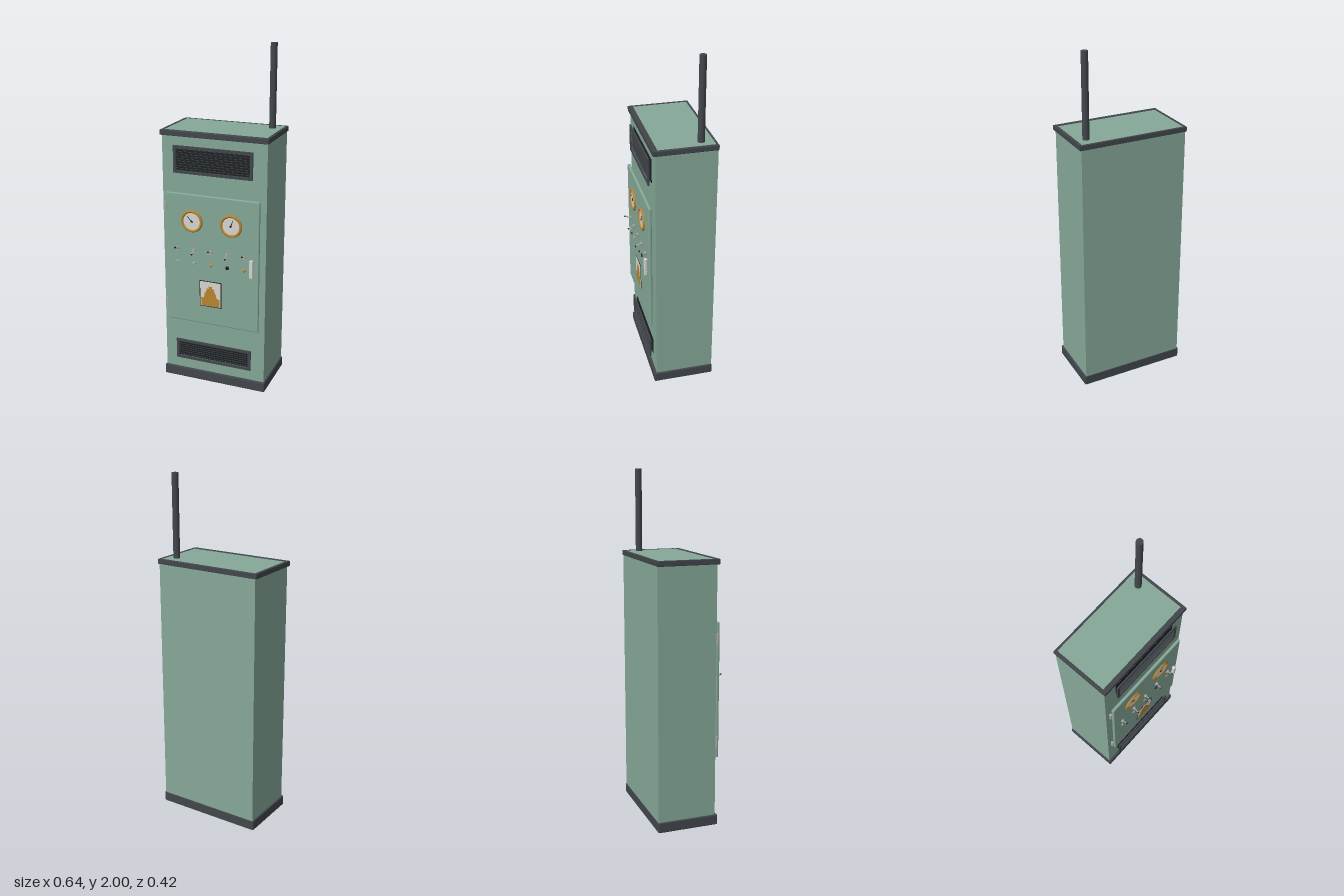
import * as THREE from 'three';
import { RoundedBoxGeometry } from 'three/addons/geometries/RoundedBoxGeometry.js';

const paint = (name, color) => {
  const m = new THREE.MeshStandardMaterial({ color });
  m.name = name;
  return m;
};

export function createModel() {
  const root = new THREE.Group();
  root.name = 'controlCabinet';
  const green = paint('greenPaint', 0x85a898);
  const dark = paint('darkTrim', 0x42464b);
  const black = paint('black', 0x1d2023);
  const brass = paint('brass', 0xb88530);
  const white = paint('dialWhite', 0xd9d6d0);
  const steel = paint('steel', 0xa8a9a5);

  const add = (name, geo, mat, x = 0, y = 0, z = 0, parent = root) => {
    const mesh = new THREE.Mesh(geo, mat);
    mesh.name = name;
    mesh.position.set(x, y, z);
    parent.add(mesh);
    return mesh;
  };
  const box = (w, h, d) => new THREE.BoxGeometry(w, h, d);
  const rounded = (w, h, d, r) => new RoundedBoxGeometry(w, h, d, 2, r);
  // cylinder whose axis runs along z
  const disc = (r, d, n = 32) => new THREE.CylinderGeometry(r, r, d, n).rotateX(Math.PI / 2);
  const rect = (path, x0, y0, x1, y1) =>
    path.moveTo(x0, y0).lineTo(x1, y0).lineTo(x1, y1).lineTo(x0, y1).closePath();
  // rectangular frame with a rectangular opening, extruded along z
  const frame = (outer, inner, depth, bevel) => {
    const [a, b, c, d] = outer;
    const s = new THREE.Shape();
    rect(s, a + bevel, b + bevel, c - bevel, d - bevel);
    const h = new THREE.Path();
    rect(h, inner[0] - bevel, inner[1] - bevel, inner[2] + bevel, inner[3] + bevel);
    s.holes.push(h);
    return new THREE.ExtrudeGeometry(s, {
      depth: depth - 2 * bevel, bevelEnabled: bevel > 0,
      bevelSize: bevel, bevelThickness: bevel, bevelSegments: 2,
    }).translate(0, 0, bevel);
  };

  // Cabinet body, plinth and roof trim
  add('body', box(0.624, 1.518, 0.34), green, 0, 0.759, -0.036);
  add('plinth', rounded(0.64, 0.06, 0.356, 0.006), dark, 0, 0.031, -0.03);
  const trim = frame([-0.32, -0.148, 0.32, 0.208], [-0.303, -0.12, 0.303, 0.195], 0.03, 0.003);
  add('roofTrim', trim.rotateX(-Math.PI / 2), dark, 0, 1.5, 0);
  add('roofPanel', box(0.608, 0.012, 0.318), green, 0, 1.522, -0.038);

  // Antenna
  add('antenna', new THREE.CylinderGeometry(0.019, 0.019, 0.485, 24), dark, 0.25, 1.7575, -0.128);

  // Louvred vents
  const vent = (name, y, h, count) => {
    const g = new THREE.Group();
    g.name = name;
    g.position.set(0, y, 0);
    root.add(g);
    const W = 0.236, H = h / 2, b = 0.017;
    add('ventFrame', frame([-W, -H, W, H], [-W + b, -H + b, W - b, H - b], 0.009, 0.001), dark, 0, 0, 0.149, g);
    add('ventBacking', box(2 * W - 0.02, h - 0.02, 0.002), black, 0, 0, 0.135, g);
    for (let i = 0; i < count; i++) {
      const t = (i + 0.5) / count - 0.5;
      const slat = add('louvre', box(2 * W - 0.03, 0.013, 0.002), dark, 0, t * (h - 0.034), 0.147, g);
      slat.rotation.x = 0.75;
    }
  };
  vent('upperVent', 1.372, 0.158, 9);
  vent('lowerVent', 0.196, 0.126, 7);

  // Door with hinges and handle
  add('door', rounded(0.564, 0.785, 0.018, 0.006), green, 0, 0.786, 0.157);
  for (const y of [1.085, 0.488]) {
    const hinge = new THREE.CylinderGeometry(0.0075, 0.0075, 0.064, 16);
    add('hinge', hinge, steel, -0.291, y, 0.15);
  }
  add('handle', rounded(0.021, 0.108, 0.017, 0.004), white, 0.242, 0.786, 0.179);
  for (const y of [0.745, 0.827]) add('handlePost', box(0.012, 0.014, 0.014), steel, 0.242, y, 0.17);

  // Dial gauges
  const gauge = (name, x, angle) => {
    const g = new THREE.Group();
    g.name = name;
    g.position.set(x, 1.022, 0);
    root.add(g);
    add('gaugeHousing', disc(0.06, 0.03), black, 0, 0, 0.15, g);
    const profile = [[0.064, 0.16], [0.066, 0.168], [0.064, 0.174], [0.059, 0.177], [0.053, 0.175], [0.049, 0.169]];
    const bezel = new THREE.LatheGeometry(profile.map(p => new THREE.Vector2(...p)), 40);
    add('gaugeBezel', bezel.rotateX(Math.PI / 2), brass, 0, 0, 0, g);
    add('gaugeFace', disc(0.051, 0.006), white, 0, 0, 0.168, g);
    add('gaugePivot', disc(0.006, 0.004, 16), black, 0, 0, 0.173, g);
    const needle = new THREE.Shape();
    needle.moveTo(-0.003, -0.008).lineTo(0.003, -0.008).lineTo(0.001, 0.042).lineTo(-0.001, 0.042);
    const mesh = add('gaugeNeedle', new THREE.ExtrudeGeometry(needle, { depth: 0.001, bevelEnabled: false }), black, 0, 0, 0.172, g);
    mesh.rotation.z = angle;
  };
  gauge('leftGauge', -0.121, 0.75);
  gauge('rightGauge', 0.116, -0.35);

  // Toggle switches, alternately up and down, above a row of lamps
  const lampColors = [steel, steel, brass, black, brass];
  lampColors.forEach((lampMat, i) => {
    const x = -0.213 + i * 0.102;
    const up = i % 2 ? -1 : 1;
    const g = new THREE.Group();
    g.name = 'toggleSwitch';
    g.position.set(x, 0.848, 0.166);
    root.add(g);
    add('switchNut', disc(0.013, 0.006, 6), steel, 0, 0, 0.003, g);
    add('switchCollar', disc(0.008, 0.006, 16), steel, 0, 0, 0.008, g);
    const lever = new THREE.CylinderGeometry(0.004, 0.0025, 0.034, 12).rotateX(Math.PI / 2).translate(0, 0, 0.017);
    const arm = add('switchLever', lever, steel, 0, 0, 0.006, g);
    arm.rotation.x = -0.45 * up;
    add('switchTip', new THREE.SphereGeometry(0.005, 12, 8), black, 0, 0, 0.034, arm);

    add('lampBase', disc(0.011, 0.003, 20), lampMat === black ? black : steel, x, 0.767, 0.167);
    const dome = new THREE.SphereGeometry(0.009, 16, 6, 0, Math.PI * 2, 0, Math.PI / 2);
    add('lamp', dome.rotateX(Math.PI / 2).scale(1, 1, 0.5), lampMat, x, 0.767, 0.1685);
  });

  // Picture plate with a stepped mound
  const px = -0.01;
  add('plateBorder', box(0.134, 0.16, 0.003), black, px, 0.588, 0.1665);
  add('plate', box(0.126, 0.152, 0.002), white, px, 0.588, 0.1678);
  const steps = [[0.057, 0.513], [0.057, 0.563], [0.04, 0.576], [0.036, 0.592], [0.03, 0.606], [0.022, 0.622], [0.012, 0.636]];
  for (let i = 1; i < steps.length; i++) {
    const y0 = steps[i - 1][1], y1 = steps[i][1];
    add('plateMound', box(2 * steps[i][0], y1 - y0, 0.002), brass, px, (y0 + y1) / 2, 0.1686);
  }
  return root;
}
